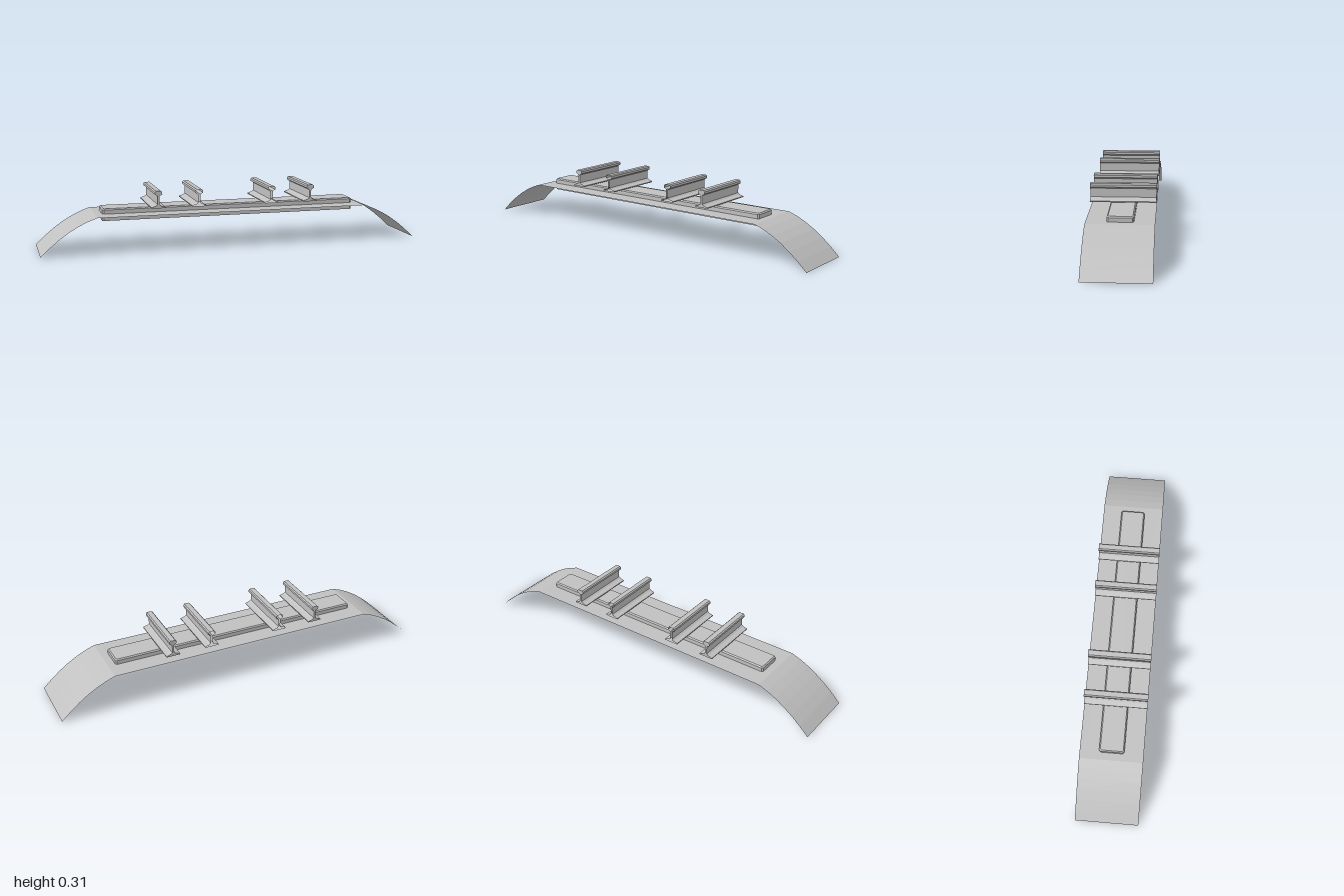
import * as THREE from 'three';

const HALF_DEPTH = 0.1625;

// Flat-shaded surface through consecutive rows of points
function loft(rows, closed) {
  const pos = [];
  for (let r = 0; r < rows.length - 1; r++) {
    const a = rows[r], b = rows[r + 1], n = a.length;
    for (let i = 0; i < (closed ? n : n - 1); i++) {
      const j = (i + 1) % n;
      pos.push(...a[i], ...a[j], ...b[j], ...a[i], ...b[j], ...b[i]);
    }
  }
  const g = new THREE.BufferGeometry();
  g.setAttribute('position', new THREE.Float32BufferAttribute(pos, 3));
  g.computeVertexNormals();
  return g;
}

// Sweep an x-y profile along the depth, leaving the ends open
const sweep = (profile, closed) => loft(
  [-HALF_DEPTH, HALF_DEPTH].map(z => profile.map(([x, y]) => [x, y, z])).reverse(), closed);

// Rectangle outline with cut corners, counter-clockwise
function cutRect(w, d, c) {
  return [[w, -d + c], [w, d - c], [w - c, d], [-w + c, d],
    [-w, d - c], [-w, -d + c], [-w + c, -d], [w - c, -d]];
}

const toShape = pts => new THREE.Shape(pts.map(([x, y]) => new THREE.Vector2(x, y)));

export function createModel() {
  const model = new THREE.Group();
  model.name = 'trackSection';
  const grey = new THREE.MeshStandardMaterial({ color: 0xc0c0c0, side: THREE.DoubleSide, flatShading: true });
  grey.name = 'grey';

  const add = (name, geometry, parent = model) => {
    const mesh = new THREE.Mesh(geometry, grey);
    mesh.name = name;
    parent.add(mesh);
    return mesh;
  };

  // Track bed: thin sheet, flat in the middle, curving down at both ends
  const slope = [];
  for (let i = 0; i <= 6; i++) {
    const d = 0.285 * i / 6;
    slope.push([0.715 + d, Math.max(0, 0.185 - 0.3 * d - 1.225 * d * d)]);
  }
  const bed = [...slope.map(([x, y]) => [-x, y]).reverse(), ...slope];
  add('trackBed', sweep(bed.reverse(), false));

  // Sleeper: hollow below, cut corners and a small top bevel
  const outer = cutRect(0.677, 0.064, 0.008), inner = cutRect(0.671, 0.058, 0.006);
  const ring = (pts, y) => pts.map(([x, z]) => [x, y, -z]);
  const sleeper = new THREE.Group();
  sleeper.name = 'sleeper';
  model.add(sleeper);
  add('sleeperSides', loft([ring(outer, 0.15), ring(outer, 0.206), ring(inner, 0.212)], true), sleeper);
  add('sleeperTop', new THREE.ShapeGeometry(toShape(inner)).rotateX(-Math.PI / 2).translate(0, 0.212, 0), sleeper);

  // Rail profile: foot, web and head, mirrored about its middle
  const half = [[0.037, 0.22], [0.037, 0.225], [0.014, 0.232], [0.005, 0.239], [0.005, 0.282],
    [0.012, 0.287], [0.019, 0.291], [0.019, 0.302], [0.013, 0.308]];
  const profile = [...half, ...half.map(([x, y]) => [-x, y]).reverse()];

  for (const [x, name, capped] of [[0.405, 'outerRail', true], [0.193, 'innerRail', false]]) {
    for (const side of [-1, 1]) {
      const rail = new THREE.Group();
      rail.name = name + (side > 0 ? 'Left' : 'Right');
      rail.position.x = side * x;
      model.add(rail);
      add('railBody', sweep(profile, true), rail);
      // Only the outer rails have closed ends
      if (capped) for (const turn of [0, Math.PI]) {
        const end = new THREE.ShapeGeometry(toShape(profile)).translate(0, 0, HALF_DEPTH).rotateY(turn);
        add('railEnd', end, rail);
      }
    }
  }
  return model;
}
